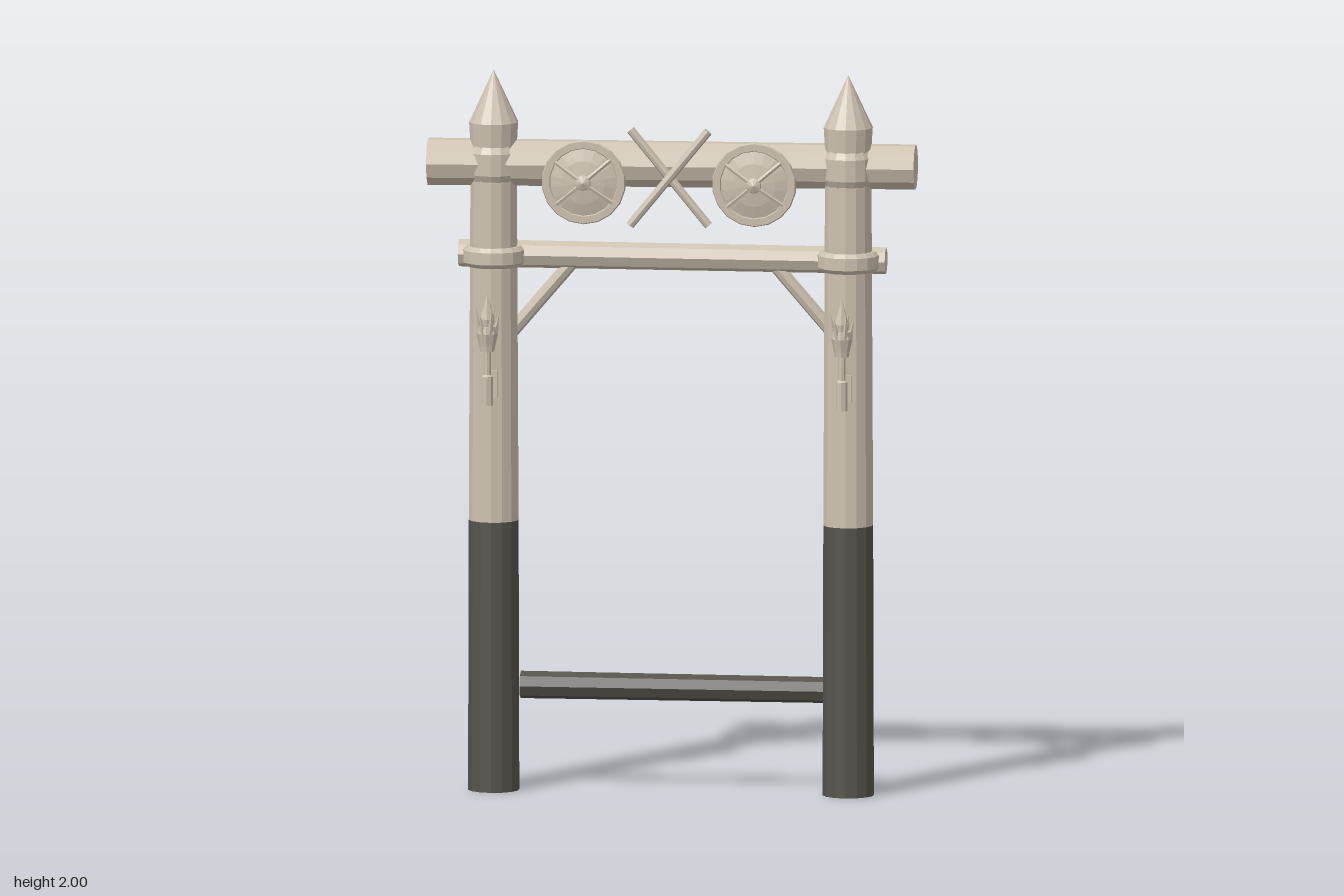
import * as THREE from 'three';

const mat = (name, color) => {
  const m = new THREE.MeshStandardMaterial({ color, flatShading: true });
  m.name = name;
  return m;
};

export function createModel() {
  const wood = mat('paleWood', 0xcdc2b1);
  const dark = mat('darkWood', 0x55534c);
  const root = new THREE.Group();
  root.name = 'gate';
  const V = (x, y, z) => new THREE.Vector3(x, y, z);

  const add = (parent, name, geo, material, x = 0, y = 0, z = 0) => {
    const mesh = new THREE.Mesh(geo, material);
    mesh.name = name;
    mesh.position.set(x, y, z);
    parent.add(mesh);
    return mesh;
  };
  // Round bar between two points
  const bar = (parent, name, a, b, r0, r1, sides, material) => {
    const dir = b.clone().sub(a);
    const mesh = add(parent, name, new THREE.CylinderGeometry(r1, r0, dir.length(), sides), material);
    mesh.position.copy(a).add(b).multiplyScalar(0.5);
    mesh.quaternion.setFromUnitVectors(V(0, 1, 0), dir.normalize());
    return mesh;
  };
  const lathe = (pts, sides) => new THREE.LatheGeometry(pts.map(p => new THREE.Vector2(...p)), sides);
  // Rope collar with bevelled edges
  const collar = (r, h) => lathe([[0.055, -h], [r - 0.01, -h], [r, -h * 0.6], [r, h * 0.6], [r - 0.01, h], [0.055, h]], 16);

  const postZ = -0.043;

  // Posts with pointed tops, collars, braces and torches
  for (const s of [-1, 1]) {
    const side = s > 0 ? 'left' : 'right';
    const x = s > 0 ? 0.487 : -0.494;
    const post = new THREE.Group();
    post.name = side + 'Post';
    root.add(post);
    bar(post, 'postBase', V(x, 0, postZ), V(x, 0.75, postZ), 0.071, 0.069, 14, dark);
    bar(post, 'postShaft', V(x, 0.75, postZ), V(x, 1.79, postZ), 0.069, 0.064, 14, wood);
    add(post, 'postTip', lathe([[0.064, 1.79], [0.068, 1.855], [0, 2]], 14), wood, x, 0, postZ);
    add(post, 'upperCollar', collar(0.073, 0.05), wood, x, 1.742, postZ);
    add(post, 'lowerCollar', collar(0.085, 0.028), wood, x, 1.483, postZ - 0.004);
    bar(post, 'brace', V(s * 0.45, 1.265, -0.088), V(s * 0.275, 1.47, -0.08), 0.019, 0.019, 8, wood);

    // Wall torch
    const torch = new THREE.Group();
    torch.name = side + 'Torch';
    torch.position.set(x, 0, 0.118);
    root.add(torch);
    add(torch, 'bracketPlate', new THREE.BoxGeometry(0.036, 0.075, 0.018), wood, 0, 1.137, -0.093);
    bar(torch, 'bracketArm', V(0, 1.155, -0.088), V(0, 1.115, 0), 0.008, 0.008, 6, wood);
    add(torch, 'handle', lathe([[0, 1.09], [0.016, 1.09], [0.016, 1.17], [0.01, 1.175],
      [0.01, 1.24], [0.02, 1.24], [0.022, 1.255], [0.03, 1.29], [0.026, 1.31], [0, 1.31]], 8), wood);
    add(torch, 'flameCore', lathe([[0, 1.3], [0.017, 1.3], [0.021, 1.33], [0, 1.4]], 6), wood);
    for (let i = 0; i < 6; i++) {
      const a = i * Math.PI / 3, c = Math.cos(a), d = Math.sin(a);
      bar(torch, 'flameTongue', V(c * 0.02, 1.285, d * 0.02),
        V(c * 0.033, 1.345 + (i % 2) * 0.022, d * 0.033), 0.01, 0, 4, wood);
    }
  }

  // Cross beams and rail
  bar(root, 'topBeam', V(-0.675, 1.742, -0.045), V(0.672, 1.745, -0.06), 0.066, 0.063, 10, wood);
  bar(root, 'lowerBeam', V(-0.593, 1.485, -0.076), V(0.588, 1.481, -0.077), 0.038, 0.037, 8, wood);
  bar(root, 'bottomRail', V(-0.427, 0.282, -0.117), V(0.424, 0.28, -0.115), 0.038, 0.036, 8, dark);

  // Round shields with rim, straps and boss
  for (const x of [-0.238, 0.234]) {
    const shield = new THREE.Group();
    shield.name = 'shield';
    shield.position.set(x, 1.7, 0.015);
    root.add(shield);
    const disc = add(shield, 'shieldFace', lathe([[0, 0], [0.112, 0], [0.117, 0.006], [0.114, 0.013],
      [0.095, 0.013], [0.093, 0.009], [0.06, 0.018], [0, 0.026]], 18), wood);
    disc.rotation.x = Math.PI / 2;
    for (const deg of [40, 145, 220, 325]) {
      const a = deg * Math.PI / 180, c = Math.cos(a), d = Math.sin(a);
      bar(shield, 'strap', V(c * 0.015, d * 0.015, 0.024), V(c * 0.097, d * 0.097, 0.01), 0.006, 0.006, 5, wood);
    }
    const boss = add(shield, 'boss', lathe([[0.024, 0.018], [0.02, 0.028], [0, 0.036]], 10), wood);
    boss.rotation.x = Math.PI / 2;
  }

  // Crossed staves between the shields
  for (const s of [-1, 1]) {
    bar(root, 'crossedStave', V(-s * 0.108, 1.585, 0.029 + s * 0.006),
      V(s * 0.108, 1.848, 0.029 + s * 0.006), 0.012, 0.012, 8, wood);
  }
  return root;
}
